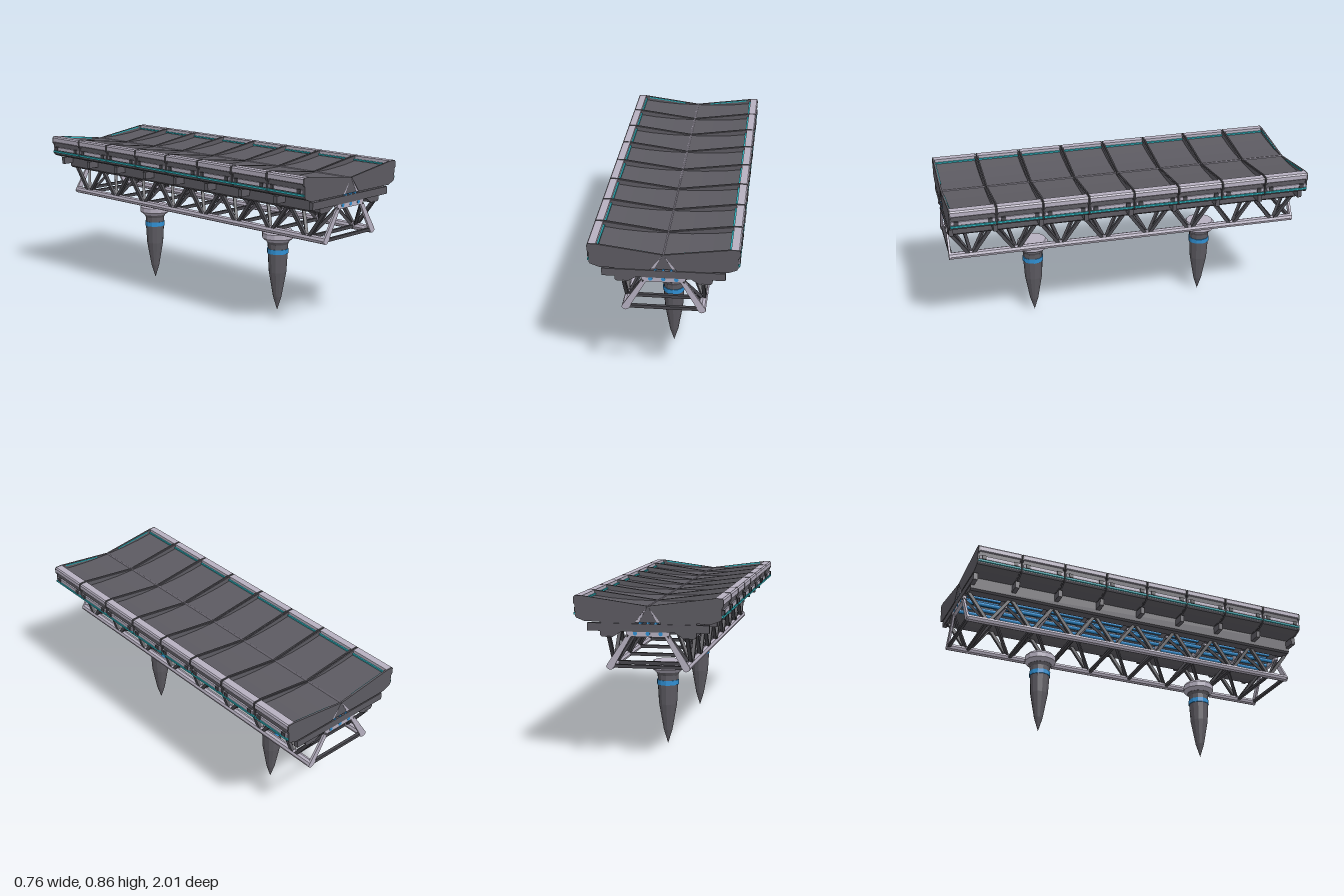
import * as THREE from 'three';

const mat = (name, color) => {
  const m = new THREE.MeshStandardMaterial({ color });
  m.name = name;
  return m;
};

export function createModel() {
  const light = mat('pale metal', 0xb6b0c0);
  const dark = mat('dark plate', 0x5c5a61);
  const strut = mat('strut grey', 0x47464c);
  const blue = mat('blue', 0x2f8fd2);
  const teal = mat('teal', 0x2fb4be);
  const root = new THREE.Group();
  root.name = 'bridgeSection';

  const add = (parent, name, geo, m, x = 0, y = 0, z = 0) => {
    const mesh = new THREE.Mesh(geo, m);
    mesh.name = name;
    mesh.position.set(x, y, z);
    parent.add(mesh);
    return mesh;
  };
  const box = (parent, name, m, w, h, d, x, y, z) =>
    add(parent, name, new THREE.BoxGeometry(w, h, d), m, x, y, z);
  // Cross-section in x, y pushed along z; side -1 mirrors it
  const prism = (parent, name, m, pts, z0, z1, side = 1) => {
    const shape = new THREE.Shape(pts.map(([x, y]) => new THREE.Vector2(x * side, y)));
    const geo = new THREE.ExtrudeGeometry(shape, { depth: z1 - z0, bevelEnabled: false });
    return add(parent, name, geo, m, 0, 0, z0);
  };
  // Square bar between two points
  const bar = (parent, name, m, a, b, t) => {
    const p = new THREE.Vector3(...a), q = new THREE.Vector3(...b);
    const mesh = add(parent, name, new THREE.BoxGeometry(t, t, p.distanceTo(q)), m);
    mesh.position.copy(p).lerp(q, 0.5);
    mesh.lookAt(q);
    return mesh;
  };

  const BAY = 0.25, HALF = 0.122;
  // Half profiles of the deck
  const ribProfile = [[0, 0.82], [0.335, 0.865], [0.374, 0.865], [0.38, 0.857], [0.38, 0.828], [0.372, 0.815],
    [0.372, 0.765], [0.366, 0.754], [0.322, 0.737], [0.065, 0.737]];
  const deckProfile = [[0, 0.817], [0.12, 0.818], [0.24, 0.826], [0.335, 0.838], [0.37, 0.838],
    [0.37, 0.765], [0.364, 0.755], [0.322, 0.739], [0.065, 0.739]];
  const curbProfile = [[0.335, 0.836], [0.335, 0.865], [0.374, 0.865], [0.38, 0.857], [0.38, 0.834], [0.376, 0.83]];
  const girderProfile = [[0.065, 0.737], [0.245, 0.737], [0.245, 0.67], [0.235, 0.66], [0.18, 0.66], [0.13, 0.692], [0.065, 0.73]];

  // Eight deck bays with small gaps between them
  for (let i = 0; i < 8; i++) {
    const bay = new THREE.Group();
    bay.name = 'deckBay';
    bay.position.z = -1 + BAY * (i + 0.5);
    root.add(bay);
    for (const s of [-1, 1]) {
      prism(bay, 'deckPanel', dark, deckProfile, -HALF + 0.006, HALF - 0.006, s);
      prism(bay, 'curb', light, curbProfile, -HALF + 0.005, HALF - 0.005, s);
      for (const e of [-1, 1]) {
        // Outermost ribs reach the very ends of the deck
        const reach = (i === 0 && e < 0) || (i === 7 && e > 0) ? 0.125 : HALF;
        const z0 = e > 0 ? HALF - 0.007 : -reach;
        prism(bay, 'rib', dark, ribProfile, z0, e > 0 ? reach : -HALF + 0.007, s);
        box(bay, 'sideClip', strut, 0.012, 0.022, 0.025, s * 0.376, 0.793, e * 0.09);
      }
      box(bay, 'sidePanel', light, 0.008, 0.02, 0.23, s * 0.374, 0.793, 0);
      box(bay, 'sideLight', teal, 0.009, 0.01, 0.242, s * 0.3755, 0.774, 0);
      box(bay, 'curbLight', teal, 0.008, 0.008, 0.23, s * 0.33, 0.845, 0);
      // Sloped web of the central spine
      prism(bay, 'spineWeb', light, [[0, 0.822], [0.065, 0.737], [0.047, 0.737]], -HALF, HALF, s);
    }
    prism(bay, 'spineBulkhead', dark, [[0, 0.82], [0.047, 0.737], [-0.047, 0.737]], -HALF + 0.001, HALF - 0.001);
    box(bay, 'centreLine', light, 0.009, 0.008, 0.226, 0, 0.8165, 0);
  }

  // Light strips inside both end ribs
  for (const e of [-1, 1]) for (const s of [-1, 1]) {
    const z = e * 0.988;
    prism(root, 'endLight', teal, [[0.08, 0.823], [0.31, 0.852], [0.31, 0.859], [0.08, 0.829]], z - 0.002, z + 0.002, s);
  }

  // Long girders under the deck
  for (const s of [-1, 1]) prism(root, 'girder', dark, girderProfile, -0.995, 0.995, s);

  // Cross beams and pipe brackets at every seam
  for (let i = 0; i <= 8; i++) {
    const z = THREE.MathUtils.clamp(-1 + BAY * i, -0.988, 0.988);
    box(root, 'crossBeam', dark, 0.62, 0.04, 0.024, 0, 0.71, z);
    prism(root, 'pipeBracket', light,
      [[-0.11, 0.692], [0.11, 0.692], [0.11, 0.665], [-0.11, 0.665]], z - 0.01, z + 0.01);
  }

  // Blue service pipes
  const pipe = (x, y, r) => {
    const g = new THREE.CylinderGeometry(r, r, 1.998, 10).rotateX(Math.PI / 2);
    add(root, 'servicePipe', g, blue, x, y, 0);
  };
  for (const x of [-0.065, 0, 0.065]) pipe(x, 0.682, 0.011);
  for (const x of [-0.04, 0, 0.04]) pipe(x, 0.732, 0.007);

  // Truss: bottom chords, zigzag struts and end legs
  for (const s of [-1, 1]) {
    const chord = new THREE.CylinderGeometry(0.02, 0.02, 1.99, 8).rotateX(Math.PI / 2).toNonIndexed();
    chord.computeVertexNormals();
    add(root, 'bottomChord', chord, light, s * 0.193, 0.513, 0);
    for (let i = 0; i < 8; i++) {
      const mid = -1 + BAY * (i + 0.5);
      for (const e of [-1, 1]) {
        const top = mid + e * 0.118;
        bar(root, 'outerStrut', strut, [s * 0.199, 0.665, top], [s * 0.199, 0.52, mid + e * 0.012], 0.018);
        bar(root, 'innerStrut', strut, [s * 0.1, 0.675, top], [s * 0.187, 0.52, mid + e * 0.012], 0.016);
      }
    }
    for (const e of [-1, 1]) {
      const z = e * 0.991;
      prism(root, 'endLeg', light, [[0.082, 0.672], [0.11, 0.672], [0.21, 0.52], [0.214, 0.508], [0.202, 0.496],
        [0.186, 0.498], [0.175, 0.51]], z - 0.006, z + 0.006, s);
    }
  }
  for (let i = -1; i <= 8; i++) {
    const z = THREE.MathUtils.clamp(-1 + BAY * (i + 0.5), -0.985, 0.985);
    box(root, 'lowerCrossbar', strut, 0.37, 0.017, 0.017, 0, 0.513, z);
  }

  // Hanging pods, lathed in three colours
  const lathe = (parent, name, m, pts) => {
    const g = new THREE.LatheGeometry(pts.map(([r, y]) => new THREE.Vector2(r, y)), 12).toNonIndexed();
    g.computeVertexNormals();
    add(parent, name, g, m);
  };
  for (const z of [-0.5, 0.5]) {
    const pod = new THREE.Group();
    pod.name = 'hangingPod';
    pod.position.z = z;
    root.add(pod);
    lathe(pod, 'podBody', dark, [[0, 0.003], [0.024, 0.08], [0.05, 0.225], [0.056, 0.33], [0.057, 0.385], [0.067, 0.405], [0, 0.405]]);
    lathe(pod, 'podBand', blue, [[0.05, 0.332], [0.06, 0.332], [0.06, 0.358], [0.05, 0.358]]);
    lathe(pod, 'podCap', light, [[0, 0.402], [0.067, 0.402], [0.089, 0.42], [0.089, 0.448], [0.077, 0.463], [0, 0.463]]);
  }
  return root;
}
